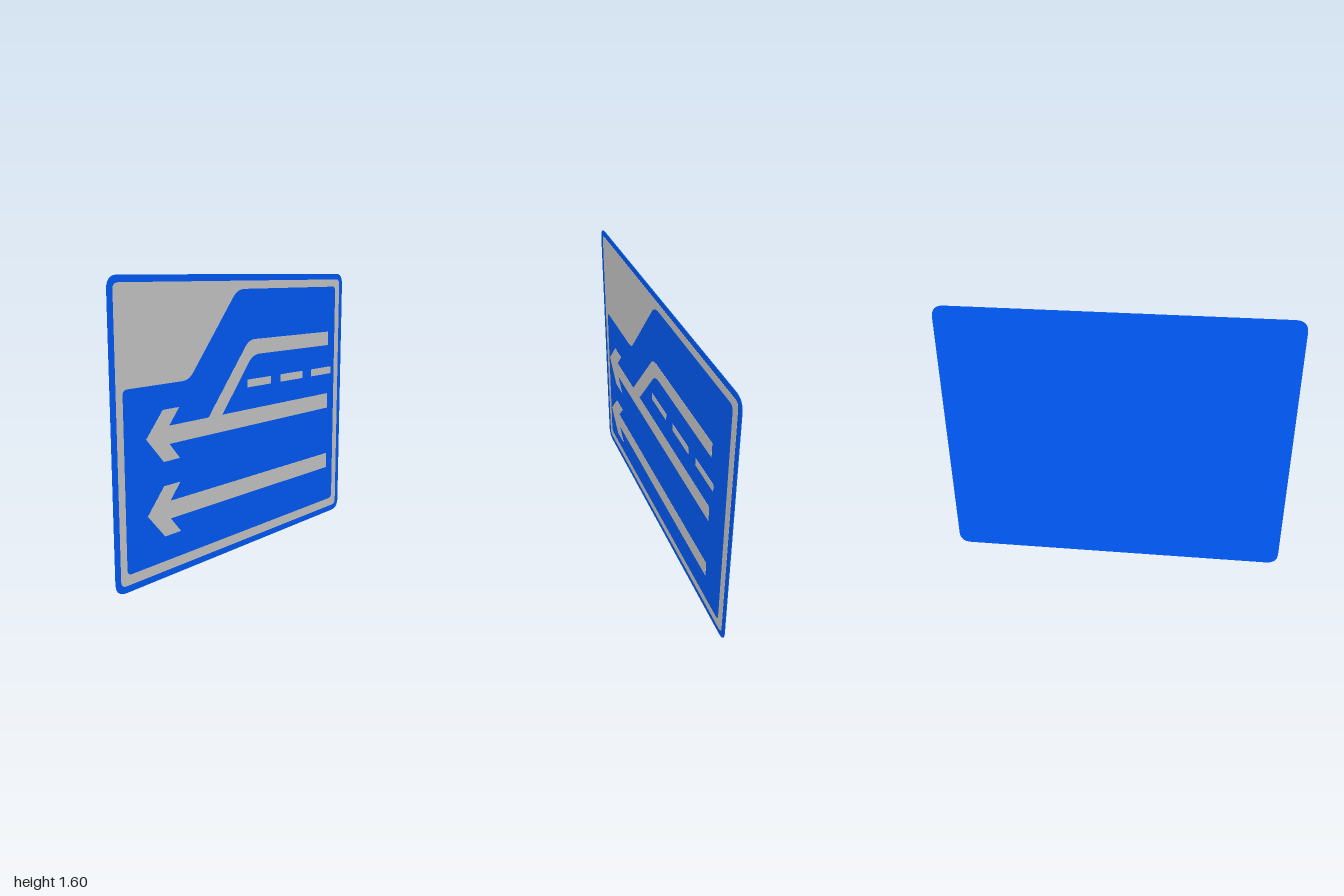
import * as THREE from 'three';

const blue = new THREE.MeshStandardMaterial({ color: 0x005dff });
const grey = new THREE.MeshStandardMaterial({ color: 0xcccccc });

// Polygon from [s, y, cornerLength] points; s runs along -z, corners are softened
function roundedShape(points) {
  const shape = new THREE.Shape();
  const n = points.length;
  points.forEach(([s, y, r = 0], i) => {
    const corner = new THREE.Vector2(s, y);
    const toward = ([a, b]) =>
      new THREE.Vector2(a, b).sub(corner).setLength(r).add(corner);
    const start = r ? toward(points[(i + n - 1) % n]) : corner;
    if (i === 0) shape.moveTo(start.x, start.y);
    else shape.lineTo(start.x, start.y);
    if (r) {
      const end = toward(points[(i + 1) % n]);
      shape.quadraticCurveTo(s, y, end.x, end.y);
    }
  });
  shape.closePath();
  return shape;
}

const rect = (s0, s1, y0, y1, r = 0) =>
  roundedShape([[s0, y0, r], [s1, y0, r], [s1, y1, r], [s0, y1, r]]);

export function createModel() {
  const sign = new THREE.Group();
  sign.name = 'laneMergeSign';

  // Thin sheet facing +x, its back at x
  function addSheet(name, shape, material, x, depth = 0.001) {
    const geometry = new THREE.ExtrudeGeometry(shape, { depth, bevelEnabled: false, curveSegments: 8 });
    geometry.rotateY(Math.PI / 2);
    const mesh = new THREE.Mesh(geometry, material);
    mesh.name = name;
    mesh.position.x = x;
    sign.add(mesh);
    return mesh;
  }

  // Layered board: blue plate, grey border field, blue panel
  addSheet('backPlate', rect(-1, 1, 0, 1.596, 0.07), blue, -0.0195, 0.004);
  addSheet('borderField', rect(-0.965, 0.965, 0.037, 1.56, 0.035), grey, -0.0155);
  addSheet('innerPanel', roundedShape([
    [-0.922, 0.092, 0.03], [0.917, 0.092, 0.03], [0.917, 1.514, 0.03],
    [-0.06, 1.514, 0.06], [-0.457, 1.043, 0.05], [-0.922, 1.043, 0.03],
  ]), blue, -0.0145);

  // Two lane arrows
  const markX = 0.0175;
  const arrow = roundedShape([
    [-0.804, 0], [-0.685, -0.136], [-0.567, -0.136], [-0.642, -0.048],
    [0.8, -0.048], [0.8, 0.048], [-0.642, 0.048], [-0.567, 0.136], [-0.685, 0.136],
  ]);
  [['upperArrow', 0.781], ['lowerArrow', 0.38]].forEach(([name, y]) => {
    addSheet(name, arrow, grey, markX).position.y = y;
  });

  // Merging lane that bends down to the top of the upper arrow
  addSheet('mergingLane', roundedShape([
    [-0.342, 0.829], [-0.23, 0.829], [0.035, 1.143, 0.06],
    [0.797, 1.143], [0.797, 1.23], [0.003, 1.23, 0.05],
  ]), grey, markX);

  // Dashed lane divider
  for (let i = 0; i < 3; i++) {
    const s = -0.014 + i * 0.314;
    addSheet('laneDash' + (i + 1), rect(s, s + 0.22, 0.957, 1.002), grey, markX);
  }
  return sign;
}
